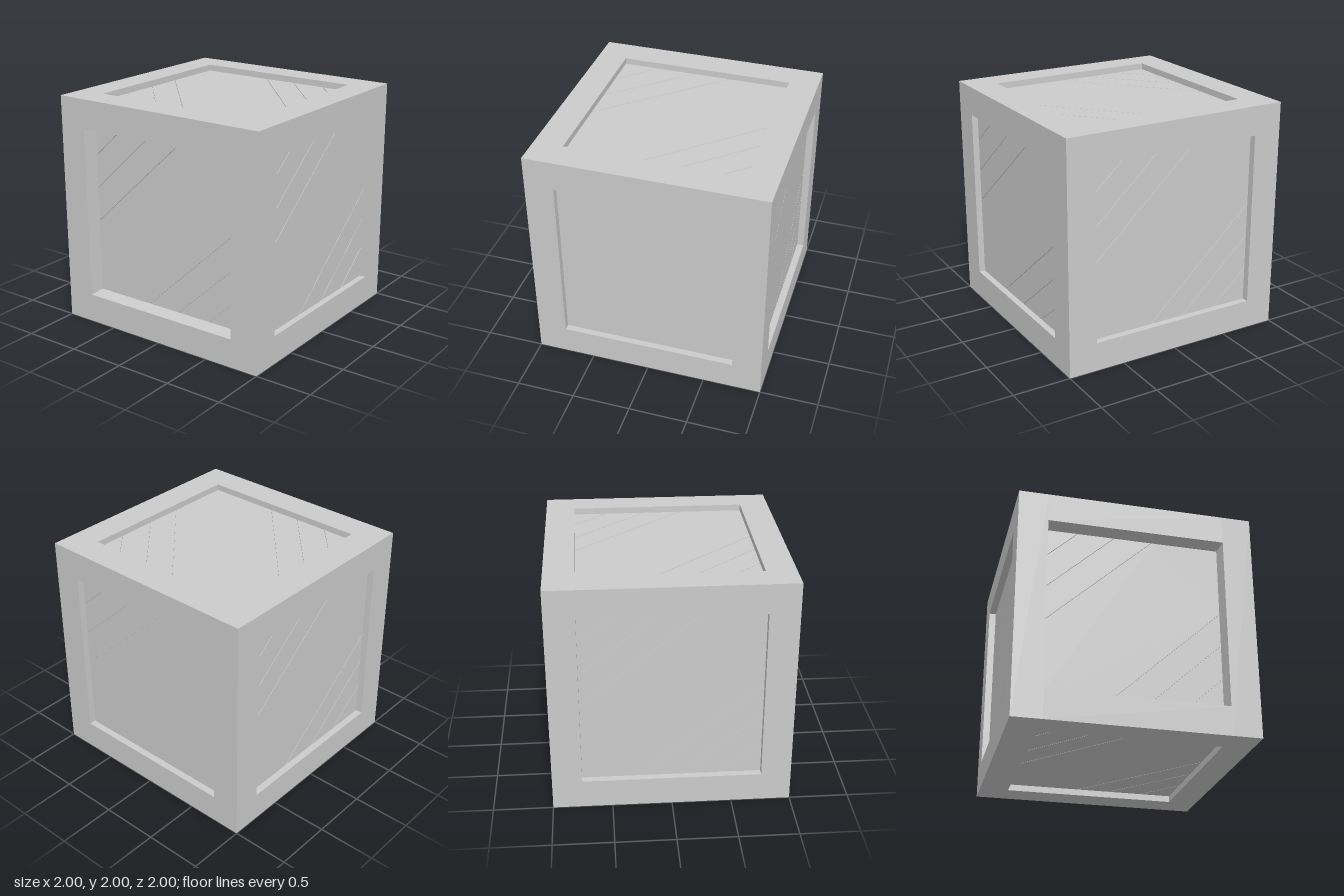
import * as THREE from 'three';

const mat = new THREE.MeshStandardMaterial({ color: 0xcccccc, flatShading: true });
const IN = 0.75, BEAM = 0.25, GAP = 0.007;

function add(parent, name, geo, material = mat) {
  const m = new THREE.Mesh(geo, material);
  m.name = name;
  parent.add(m);
  return m;
}

// Keep the part of a polygon where f(point) >= 0
function clip(poly, f) {
  const out = [];
  poly.forEach((a, i) => {
    const b = poly[(i + 1) % poly.length];
    const fa = f(a), fb = f(b);
    if (fa >= 0) out.push(a);
    if (fa * fb < 0) out.push(a.clone().lerp(b, fa / (fa - fb)));
  });
  return out;
}

// Recessed panel of diagonal planks, facing +z; cuts are heights where the seams cross the middle
function makePanel(name, slope, cuts, depth) {
  const g = new THREE.Group();
  g.name = name;
  const front = 1 - depth;
  add(g, 'panelBacking', new THREE.BoxGeometry(2 * IN, 2 * IN, 0.05)).position.z = front - 0.037;
  const edges = [-3, ...cuts, 3];
  for (let i = 0; i < edges.length - 1; i++) {
    const lo = edges[i] + GAP / 2, hi = edges[i + 1] - GAP / 2;
    let poly = [[-IN, -IN], [IN, -IN], [IN, IN], [-IN, IN]].map(([x, y]) => new THREE.Vector2(x, y));
    poly = clip(poly, p => p.y - slope * p.x - lo);
    poly = clip(poly, p => hi - p.y + slope * p.x);
    if (poly.length < 3) continue;
    const geo = new THREE.ExtrudeGeometry(new THREE.Shape(poly), { depth: 0.012, bevelEnabled: false });
    add(g, 'plank', geo).position.z = front - 0.012;
  }
  return g;
}

export function createModel() {
  const crate = new THREE.Group();
  crate.name = 'crate';
  const body = new THREE.Group();
  body.name = 'crateBody';
  body.position.y = 1;
  crate.add(body);

  // Frame: four posts, and rails between them at top and bottom
  const c = 1 - BEAM / 2;
  for (const a of [-c, c]) {
    for (const b of [-c, c]) {
      add(body, 'cornerPost', new THREE.BoxGeometry(BEAM, 2, BEAM)).position.set(a, 0, b);
      add(body, 'crossRail', new THREE.BoxGeometry(2 * IN, BEAM, BEAM)).position.set(0, a, b);
      add(body, 'sideRail', new THREE.BoxGeometry(BEAM, BEAM, 2 * IN)).position.set(a, b, 0);
    }
  }

  // Six plank panels
  const frontCuts = [-1.15, -0.85, -0.56, 0.59, 0.89, 1.18];
  const sideCuts = [-1.07, -0.8, -0.52, 0.55, 0.83, 1.11];
  const topCuts = [-1.27, -0.94, -0.62, 0.64, 0.96, 1.3];
  const H = Math.PI / 2;
  const panels = [
    ['frontPanel', 0.93, frontCuts, 0.13, 0, 0],
    ['backPanel', 0.93, frontCuts, 0.06, 0, Math.PI],
    ['leftPanel', 0.8, sideCuts, 0.055, 0, H],
    ['rightPanel', 0.8, sideCuts, 0.06, 0, -H],
    ['topPanel', -1.11, topCuts, 0.055, -H, 0],
    ['bottomPanel', 1.11, topCuts, 0.055, H, 0],
  ];
  for (const [name, slope, cuts, depth, rx, ry] of panels) {
    const p = makePanel(name, slope, cuts, depth);
    p.rotation.set(rx, ry, 0);
    body.add(p);
  }

  // Tapered lining of the deeper front opening
  const lining = new THREE.CylinderGeometry(IN * Math.SQRT2, 0.735 * Math.SQRT2, 0.13, 4, 1, true, Math.PI / 4);
  lining.rotateX(H);
  const inside = mat.clone();
  inside.side = THREE.DoubleSide;
  add(body, 'frontLining', lining, inside).position.z = 1 - 0.065;

  return crate;
}
